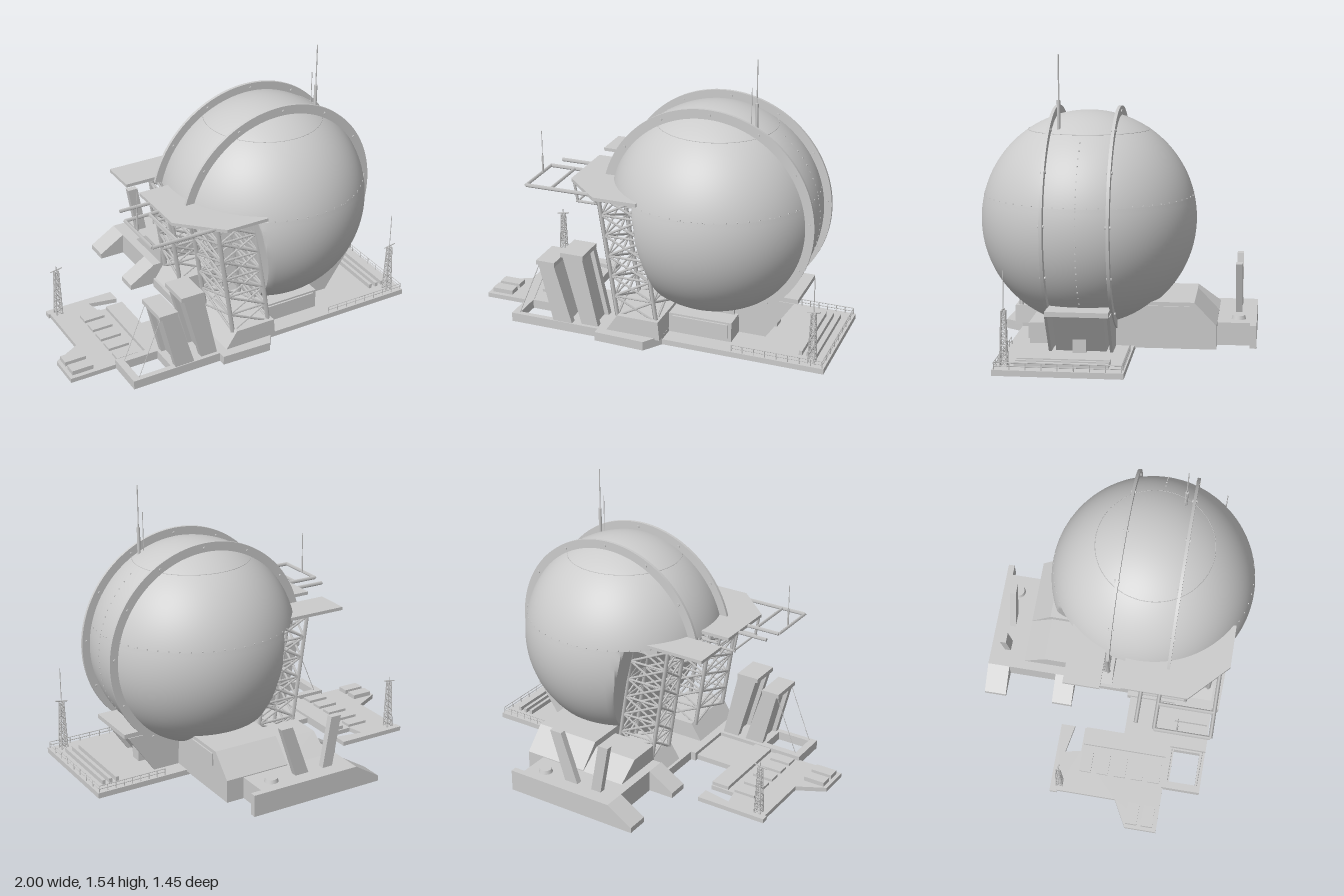
import * as THREE from 'three';
import { mergeGeometries, toCreasedNormals } from 'three/addons/utils/BufferGeometryUtils.js';

const grey = new THREE.MeshStandardMaterial({ color: 0xcccccc, side: THREE.DoubleSide });
const V = (x, y, z) => new THREE.Vector3(x, y, z);
const C = V(0.28, 0.672, 0.157), R = 0.566, CUT_Y = 0.8;   // dome centre, radius, height of the undercut

// ---- geometry helpers ----
const boxG = (x0, x1, y0, y1, z0, z1) =>
  new THREE.BoxGeometry(x1 - x0, y1 - y0, z1 - z0).translate((x0 + x1) / 2, (y0 + y1) / 2, (z0 + z1) / 2);
const extrude = (pts, depth, holes = []) => {
  const s = new THREE.Shape(pts.map(p => new THREE.Vector2(...p)));
  holes.forEach(h => s.holes.push(new THREE.Path(h.map(p => new THREE.Vector2(...p)))));
  return new THREE.ExtrudeGeometry(s, { depth, bevelEnabled: false });
};
const flipY = pts => pts.map(([a, b]) => [a, -b]);
// outline in x,y pushed along z
const frontG = (pts, z0, z1) => extrude(pts, z1 - z0).translate(0, 0, z0);
// outline in x,z pushed along y
const planG = (pts, y0, y1, holes = []) =>
  extrude(flipY(pts), y1 - y0, holes.map(flipY)).rotateX(-Math.PI / 2).translate(0, y0, 0);
// outline in z,y pushed along x
const sideG = (pts, x0, x1) =>
  extrude(pts.map(([z, y]) => [-z, y]), x1 - x0).rotateY(Math.PI / 2).translate(x0, 0, 0);
// square or round bar between two points
const barG = (a, b, t = 0.012, sides = 4) => {
  const d = b.clone().sub(a), g = new THREE.CylinderGeometry(t / 2, t / 2, d.length(), sides);
  g.applyQuaternion(new THREE.Quaternion().setFromUnitVectors(V(0, 1, 0), d.normalize()));
  return g.translate((a.x + b.x) / 2, (a.y + b.y) / 2, (a.z + b.z) / 2);
};
// four-legged lattice with crossed braces
const latticeG = (bottom, top, bays, leg, brace) => {
  const out = [], at = (i, t) => bottom[i % 4].clone().lerp(top[i % 4], t);
  for (let i = 0; i < 4; i++) {
    out.push(barG(at(i, 0), at(i, 1), leg));
    for (let k = 0; k < bays; k++) {
      const a = k / bays, b = (k + 1) / bays;
      out.push(barG(at(i, a), at(i + 1, b), brace), barG(at(i + 1, a), at(i, b), brace), barG(at(i, b), at(i + 1, b), brace));
    }
  }
  return out;
};
const quad = (x0, x1, y, z0, z1) => [V(x0, y, z0), V(x1, y, z0), V(x1, y, z1), V(x0, y, z1)];
const cutX = y => 0.1 - 0.12 * (y - 0.19) / 0.61;

export function createModel() {
  const root = new THREE.Group();
  const add = (name, ...geos) => {
    const list = geos.flat().map(g => (g.index ? g.toNonIndexed() : g));
    const m = new THREE.Mesh(list.length > 1 ? mergeGeometries(list) : list[0], grey);
    m.name = name;
    root.add(m);
  };

  // spherical dome, its lower left side sliced off by a leaning plane
  const t0 = Math.acos((CUT_Y - C.y) / R);
  const upper = new THREE.SphereGeometry(R, 96, 28, 0, Math.PI * 2, 0, t0).translate(C.x, C.y, C.z);
  const lower = new THREE.SphereGeometry(R, 128, 40, 0, Math.PI * 2, t0, Math.PI - t0).translate(C.x, C.y, C.z);
  const p = lower.attributes.position;
  for (let i = 0; i < p.count; i++) p.setX(i, Math.max(p.getX(i), cutX(p.getY(i))));
  add('domeUpper', upper);
  add('domeLower', toCreasedNormals(lower, 0.5));
  add('domeUnderside', new THREE.CircleGeometry(R * Math.sin(t0), 96).rotateX(Math.PI / 2).translate(C.x, CUT_Y, C.z));

  // seams and rivets
  const seamY = 1.14 - C.y;
  add('domeSeam', new THREE.TorusGeometry(Math.sqrt(R * R - seamY * seamY), 0.002, 4, 96).rotateX(Math.PI / 2).translate(C.x, 1.14, C.z));
  const rivets = [], rivet = (a, y) => {
    const r = Math.sqrt(R * R - (y - C.y) ** 2);
    rivets.push(new THREE.BoxGeometry(0.006, 0.006, 0.006).translate(C.x + r * Math.cos(a), y, C.z + r * Math.sin(a)));
  };
  for (let i = 0; i < 60; i++) rivet(i * Math.PI / 30, 0.805);
  for (let y = 0.3; y < 1.13; y += 0.035) rivet(0, y);
  add('domeRivets', rivets);

  // two hoop frames, open where the dome is sliced
  const a0 = -1.87, a1 = 2.91;
  for (const z of [-0.005, 0.325]) {
    const s = new THREE.Shape();
    s.absarc(0, 0, 0.586, a0, a1, false);
    s.absarc(0, 0, 0.53, a1, a0, true);
    add('hoop', toCreasedNormals(new THREE.ExtrudeGeometry(s, { depth: 0.016, bevelEnabled: false, curveSegments: 72 })
      .translate(C.x, 0.675, z - 0.008), 0.5));
    const bolts = [];
    for (let a = -1.4; a < 2.8; a += 0.49)
      bolts.push(new THREE.CylinderGeometry(0.008, 0.008, 0.028, 8).rotateX(Math.PI / 2)
        .translate(C.x + 0.56 * Math.cos(a), 0.675 + 0.56 * Math.sin(a), z));
    add('hoopBolts', bolts);
  }

  // roof antennas
  add('roofAntenna', barG(V(0.53, 1.15, 0.28), V(0.53, 1.31, 0.28), 0.018, 10), barG(V(0.53, 1.31, 0.28), V(0.53, 1.54, 0.28), 0.006, 6));
  add('smallAntenna', barG(V(0.503, 1.15, 0.28), V(0.503, 1.39, 0.28), 0.004, 6));

  // ground plates
  add('rightPlate', boxG(0.1, 1, 0, 0.03, -0.1, 0.55));
  add('midPlate', boxG(-0.23, 0.12, 0, 0.05, 0.1, 0.45),
    planG([[-0.23, 0.45], [-0.23, 0.64], [0.05, 0.65], [0.12, 0.55], [0.12, 0.45]], 0, 0.05), boxG(-0.2, 0.12, 0, 0.05, -0.22, 0.1));
  add('linkPlate', boxG(-0.46, -0.23, 0, 0.03, 0.12, 0.4));
  add('leftPlate', planG([[-0.86, -0.25], [-0.46, -0.25], [-0.46, -0.17], [-0.62, -0.2], [-0.6, -0.11], [-0.46, -0.11],
    [-0.46, 0.39], [-1, 0.39], [-1, 0.21], [-0.85, 0.13], [-0.85, -0.21], [-0.86, -0.21]], 0, 0.025));
  const pads = [];
  for (let i = 0; i < 5; i++) pads.push(boxG(-0.72, -0.6, 0.025, 0.04, -0.1 + i * 0.1, -0.035 + i * 0.1));
  for (const z of [0.21, 0.3]) pads.push(boxG(-0.98, -0.86, 0.025, 0.05, z, z + 0.065));
  add('groundPanels', pads, boxG(-0.56, -0.46, 0.025, 0.045, -0.1, 0.38));

  // long strips and railing on the right plate
  add('plateStrips', [0.84, 0.88, 0.92].map(x => boxG(x, x + 0.018, 0.03, 0.055, -0.02, 0.45)));
  const rail = [], loop = [V(0.5, 0, 0.54), V(0.99, 0, 0.54), V(0.99, 0, -0.09), V(0.6, 0, -0.09)];
  for (let i = 0; i < 3; i++) {
    const a = loop[i], b = loop[i + 1], up = (v, y) => V(v.x, y, v.z);
    for (const y of [0.048, 0.066]) rail.push(barG(up(a, y), up(b, y), 0.005));
    for (let k = 0; k <= 8; k++) { const q = a.clone().lerp(b, k / 8); rail.push(barG(up(q, 0.03), up(q, 0.066), 0.005)); }
  }
  add('railing', rail);

  // cradle below the dome
  add('cradle', boxG(0.12, 0.47, 0.03, 0.14, -0.41, 0.45), boxG(0.13, 0.45, 0.14, 0.2, -0.05, 0.35));
  add('cradlePanel', boxG(0.14, 0.45, 0.05, 0.13, 0.45, 0.46));

  // leaning entrance block on the right
  add('entranceBlock', frontG([[0.42, 0.03], [0.6, 0.03], [0.74, 0.25], [0.55, 0.25]], 0.03, 0.29));
  for (const z of [-0.005, 0.31]) add('entranceWing', frontG([[0.47, 0.03], [0.62, 0.03], [0.77, 0.25], [0.62, 0.25], [0.47, 0.12]], z, z + 0.015));
  add('entranceRoof', boxG(0.6, 0.79, 0.25, 0.275, 0, 0.32));
  add('entranceDoor', boxG(0.58, 0.645, 0.03, 0.125, 0.13, 0.2));

  // rear building with sloped roof, arms and vents
  add('rearHall', sideG([[0.05, 0.02], [0.05, 0.17], [-0.17, 0.265], [-0.41, 0.265], [-0.525, 0.145], [-0.525, 0.02]], 0.1, 0.47));
  add('rearHallPanel', boxG(0.47, 0.478, 0.175, 0.245, -0.385, -0.17));
  add('rearBase', boxG(-0.2, 0.37, 0.02, 0.14, -0.73, -0.22), boxG(0.37, 0.43, 0.02, 0.14, -0.73, -0.695));
  add('rearRoof', sideG([[-0.22, 0.14], [-0.22, 0.23], [-0.4, 0.23], [-0.525, 0.14]], -0.15, 0.1));
  for (const [z0, z1] of [[-0.73, -0.605], [-0.33, -0.215]])
    add('rearArm', frontG([[-0.345, 0.02], [-0.2, 0.02], [-0.2, 0.14], [-0.345, 0.05]], z0, z1));
  add('rearFin', frontG([[-0.1, 0.14], [-0.04, 0.14], [-0.09, 0.42], [-0.15, 0.42]], -0.65, -0.615));
  add('rearFin', frontG([[0.05, 0.14], [0.13, 0.14], [0.22, 0.42], [0.15, 0.42]], -0.65, -0.615));
  add('rearVent', new THREE.CylinderGeometry(0.032, 0.038, 0.02, 16).translate(0.27, 0.15, -0.635));

  // leaning lattice towers with footings
  for (const [z0, z1] of [[0.26, 0.56], [-0.2, -0.03]]) {
    add('latticeTower', latticeG(quad(-0.13, 0.09, 0.13, z0, z1), quad(-0.23, -0.01, 0.81, z0, z1), 6, 0.026, 0.014));
    add('towerFooting', frontG([[-0.19, 0.04], [0.12, 0.04], [0.11, 0.145], [-0.12, 0.145]], z0 - 0.03, z1 + 0.03));
    add('towerHead', boxG(-0.15, 0, 0.75, 0.8, z0 + 0.02, z1 - 0.02));
  }

  // upper decks
  add('frontDeck', planG([[-0.43, 0.09], [-0.43, 0.45], [-0.22, 0.65], [0.02, 0.65], [0, 0.09]], 0.812, 0.83));
  add('rearDeck', planG([[-0.45, -0.22], [-0.45, -0.02], [-0.05, -0.02], [-0.05, -0.22]], 0.812, 0.83));
  const frame = [[-0.62, 0.3, -0.62, 0.6], [-0.62, 0.3, -0.42, 0.3], [-0.62, 0.6, -0.25, 0.6], [-0.48, 0.3, -0.48, 0.6], [-0.6, 0.2, -0.42, 0.2]];
  add('deckFrame', frame.map(([x0, z0, x1, z1]) => barG(V(x0, 0.82, z0), V(x1, 0.82, z1), 0.022)));
  const hang = [];
  for (const z of [0.2, 0.44]) {
    hang.push(barG(V(-0.42, 0.81, z), V(-0.4, 0.7, z), 0.016), barG(V(-0.33, 0.81, z), V(-0.3, 0.7, z), 0.016),
      barG(V(-0.41, 0.7, z), V(-0.29, 0.7, z), 0.016), barG(V(-0.3, 0.72, z), V(-0.2, 0.72, z), 0.016));
  }
  for (const x of [-0.4, -0.3]) hang.push(barG(V(x, 0.7, 0.2), V(x, 0.7, 0.44), 0.016));
  add('deckHanger', hang);
  add('deckAntenna', barG(V(-0.61, 0.82, 0.42), V(-0.61, 0.92, 0.42), 0.01, 6), barG(V(-0.61, 0.92, 0.42), V(-0.61, 1.06, 0.42), 0.004, 6));

  // leaning buttresses: two cheeks, recessed web and cap
  const buttress = (pts, z0, z1) => {
    const [a, b, c, d] = pts, inset = [[a[0] + 0.025, a[1]], [b[0] - 0.025, b[1]], [c[0] - 0.025, c[1]], [d[0] + 0.025, d[1]]];
    const cap = boxG(d[0] - 0.008, c[0] + 0.008, c[1] - 0.025, c[1], z0, z1);
    add('buttress', frontG(pts, z0, z0 + 0.035), frontG(pts, z1 - 0.035, z1), frontG(inset, z0 + 0.03, z1 - 0.03), cap);
  };
  buttress([[-0.49, 0.04], [-0.38, 0.04], [-0.485, 0.39], [-0.575, 0.39]], 0.4, 0.595);
  buttress([[-0.33, 0.04], [-0.235, 0.04], [-0.325, 0.45], [-0.44, 0.45]], 0.4, 0.58);
  add('buttressBase', planG([[-0.74, 0.38], [-0.74, 0.6], [-0.23, 0.6], [-0.23, 0.38]], 0, 0.05,
    [[[-0.7, 0.42], [-0.7, 0.57], [-0.51, 0.57], [-0.51, 0.42]]]));
  add('stayCable', [0.41, 0.58].map(z => barG(V(-0.7, 0.05, z), V(-0.565, 0.38, z), 0.004)));

  // lattice radio masts
  for (const [x, z, y0, h, tip] of [[-0.805, -0.2, 0.02, 0.3, 0.33], [0.925, 0.5, 0.03, 0.31, 0.51]]) {
    add('radioMast', latticeG(quad(x - 0.018, x + 0.018, y0, z - 0.018, z + 0.018), quad(x - 0.01, x + 0.01, h, z - 0.01, z + 0.01), 8, 0.007, 0.004),
      barG(V(x - 0.035, h, z), V(x + 0.035, h + 0.012, z), 0.008), barG(V(x, h, z), V(x, tip, z), 0.005));
  }
  return root;
}
